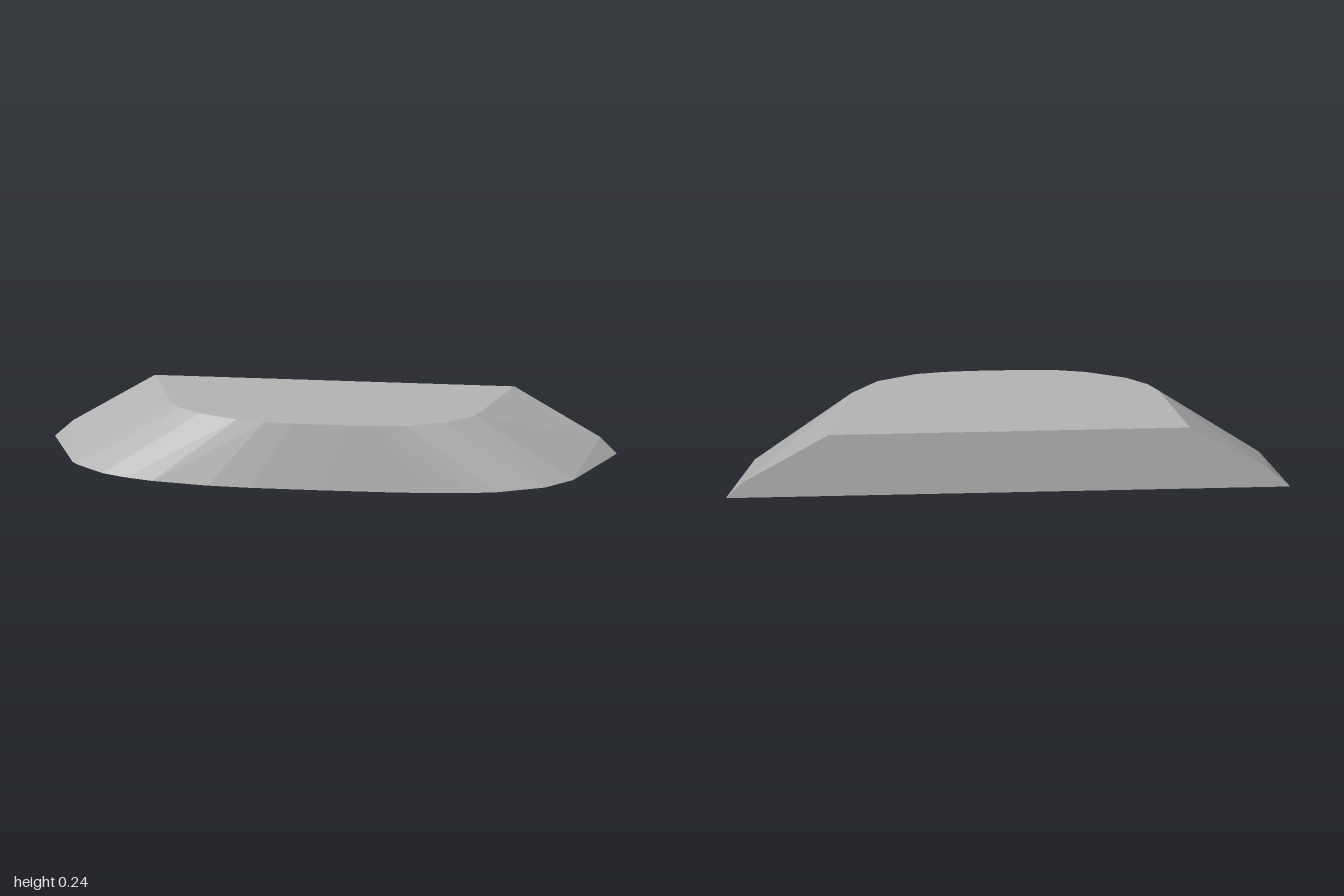
import * as THREE from 'three';
import { ConvexGeometry } from 'three/addons/geometries/ConvexGeometry.js';

// Turns an [x, z] outline into points at one height
const ring = (y, outline) => outline.map(([x, z]) => new THREE.Vector3(x, y, z));

export function createModel() {
  const group = new THREE.Group();
  group.name = 'taperedBlock';
  const grey = new THREE.MeshStandardMaterial({ color: 0xb4b4b4 });
  grey.name = 'plain grey';

  // Wide rounded footprint with a straight back
  const base = ring(0, [
    [-1, -0.273], [-0.905, 0.03], [-0.885, 0.06], [-0.785, 0.153], [-0.7, 0.194], [-0.6, 0.226],
    [-0.4, 0.26], [-0.25, 0.27], [0, 0.273], [0.25, 0.271], [0.4, 0.264], [0.53, 0.25],
    [0.63, 0.228], [0.79, 0.155], [0.88, 0.055], [1, -0.273],
  ]);
  // Chamfer corners at the back of each side
  const corners = ring(0.06, [[-0.935, -0.273], [0.94, -0.273]]);
  // Smaller flat top
  const top = ring(0.237, [
    [-0.645, -0.273], [-0.55, 0.05], [-0.515, 0.105], [-0.44, 0.165], [-0.3, 0.222], [-0.2, 0.242],
    [-0.1, 0.25], [0.1, 0.251], [0.2, 0.247], [0.3, 0.234], [0.44, 0.18], [0.535, 0.085], [0.635, -0.273],
  ]);

  const body = new THREE.Mesh(new ConvexGeometry([...base, ...corners, ...top]), grey);
  body.name = 'body';
  group.add(body);
  return group;
}
